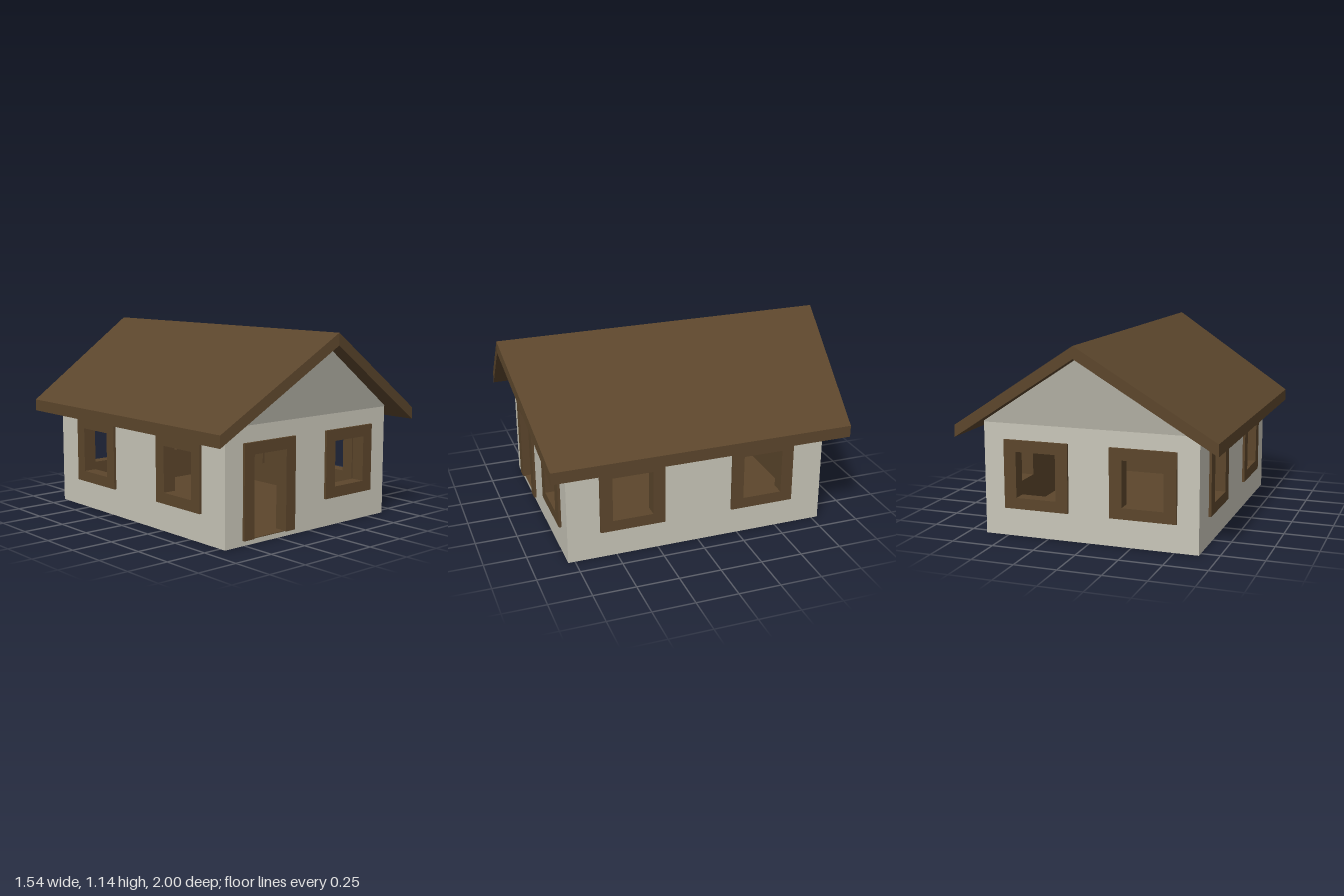
import * as THREE from 'three';

const wallMat = new THREE.MeshStandardMaterial({ color: 0xc9c6b9, name: 'pale plaster' });
const woodMat = new THREE.MeshStandardMaterial({ color: 0x5c462c, name: 'brown wood' });

const HALF_W = 0.64, HALF_D = 0.79, WALL_H = 0.66, THICK = 0.05;

function polygon(points) {
  return new THREE.Shape(points.map(([x, y]) => new THREE.Vector2(x, y)));
}

function rect(x0, y0, x1, y1) {
  return [[x0, y0], [x1, y0], [x1, y1], [x0, y1]];
}

// Extrudes a shape along z from z0 to z1
function slab(name, shape, z0, z1, material) {
  const geometry = new THREE.ExtrudeGeometry(shape, { depth: z1 - z0, bevelEnabled: false });
  geometry.translate(0, 0, z0);
  const mesh = new THREE.Mesh(geometry, material);
  mesh.name = name;
  return mesh;
}

// Window casing that passes through the wall
function windowFrame(cx) {
  const shape = polygon(rect(cx - 0.195, 0.165, cx + 0.195, 0.567));
  shape.holes.push(polygon(rect(cx - 0.121, 0.23, cx + 0.121, 0.5)));
  return slab('windowFrame', shape, -0.065, 0.015, woodMat);
}

// Door casing, open at the bottom
function doorFrame(cx) {
  const o = 0.193, i = 0.121;
  const shape = polygon([
    [cx - o, 0.03], [cx - i, 0.03], [cx - i, 0.5], [cx + i, 0.5],
    [cx + i, 0.03], [cx + o, 0.03], [cx + o, 0.567], [cx - o, 0.567],
  ]);
  return slab('doorFrame', shape, -0.065, 0.015, woodMat);
}

// One wall facing +z with its outer face on z = 0: plaster outside, wood lining inside
function wall(name, halfOuter, halfInner, height, openings) {
  const group = new THREE.Group();
  group.name = name;
  const layer = (part, half, z0, z1, mat) => {
    const shape = polygon(rect(-half, 0, half, height));
    for (const { x, door } of openings) {
      shape.holes.push(polygon(rect(x - 0.14, door ? 0.03 : 0.21, x + 0.14, 0.52)));
    }
    group.add(slab(part, shape, z0, z1, mat));
  };
  layer('plaster', halfOuter, -THICK / 2, 0, wallMat);
  layer('lining', halfInner, -THICK, -THICK / 2, woodMat);
  for (const { x, door } of openings) group.add(door ? doorFrame(x) : windowFrame(x));
  return group;
}

// Gable that leans outward towards the ridge
function gable() {
  const group = new THREE.Group();
  group.name = 'gable';
  const shape = polygon([
    [-HALF_W, WALL_H], [HALF_W, WALL_H], [HALF_W, 0.668], [0, 1.075], [-HALF_W, 0.668],
  ]);
  group.add(slab('gablePlaster', shape, -THICK / 2, 0, wallMat));
  group.add(slab('gableLining', shape, -THICK, -THICK / 2, woodMat));
  for (const { geometry } of group.children) {
    const p = geometry.attributes.position;
    for (let i = 0; i < p.count; i++) p.setZ(i, p.getZ(i) + (p.getY(i) - WALL_H) * 0.277);
    geometry.computeVertexNormals();
  }
  return group;
}

function box(name, w, h, d, x, y, z, material) {
  const mesh = new THREE.Mesh(new THREE.BoxGeometry(w, h, d), material);
  mesh.position.set(x, y, z);
  mesh.name = name;
  return mesh;
}

export function createModel() {
  const house = new THREE.Group();
  house.name = 'house';

  // Front and back walls with gables
  const pair = [{ x: -0.32 }, { x: 0.318 }];
  for (const back of [false, true]) {
    const openings = back ? pair.map(({ x }) => ({ x: -x })) : [{ x: -0.32, door: true }, pair[1]];
    const end = wall(back ? 'backWall' : 'frontWall', HALF_W, HALF_W - THICK / 2, WALL_H, openings);
    end.add(gable());
    end.position.z = back ? -HALF_D : HALF_D;
    end.rotation.y = back ? Math.PI : 0;
    house.add(end);
  }

  // Side walls
  for (const side of [-1, 1]) {
    const wallSide = wall(side > 0 ? 'leftWall' : 'rightWall', HALF_D - THICK / 2, HALF_D - THICK,
      0.668, [{ x: -0.402 }, { x: 0.402 }]);
    wallSide.position.x = side * HALF_W;
    wallSide.rotation.y = side * Math.PI / 2;
    house.add(wallSide);
  }

  // Base, floor and door sill
  house.add(box('base', 1.23, 0.02, 1.53, 0, 0.01, 0, wallMat));
  house.add(box('floor', 1.18, 0.01, 1.48, 0, 0.025, 0, woodMat));
  house.add(box('doorSill', 0.24, 0.004, 0.06, -0.32, 0.031, 0.762, woodMat));

  // Roof: a chevron whose ends jut out further at the ridge than at the eaves
  const roof = slab('roof', polygon([
    [-0.77, 0.583], [0, 1.075], [0.77, 0.583], [0.77, 0.653], [0, 1.145], [-0.77, 0.653],
  ]), -1, 1, woodMat);
  const p = roof.geometry.attributes.position;
  for (let i = 0; i < p.count; i++) p.setZ(i, p.getZ(i) * (1 - 0.1 * Math.abs(p.getX(i)) / 0.77));
  roof.geometry.computeVertexNormals();
  house.add(roof);

  return house;
}
